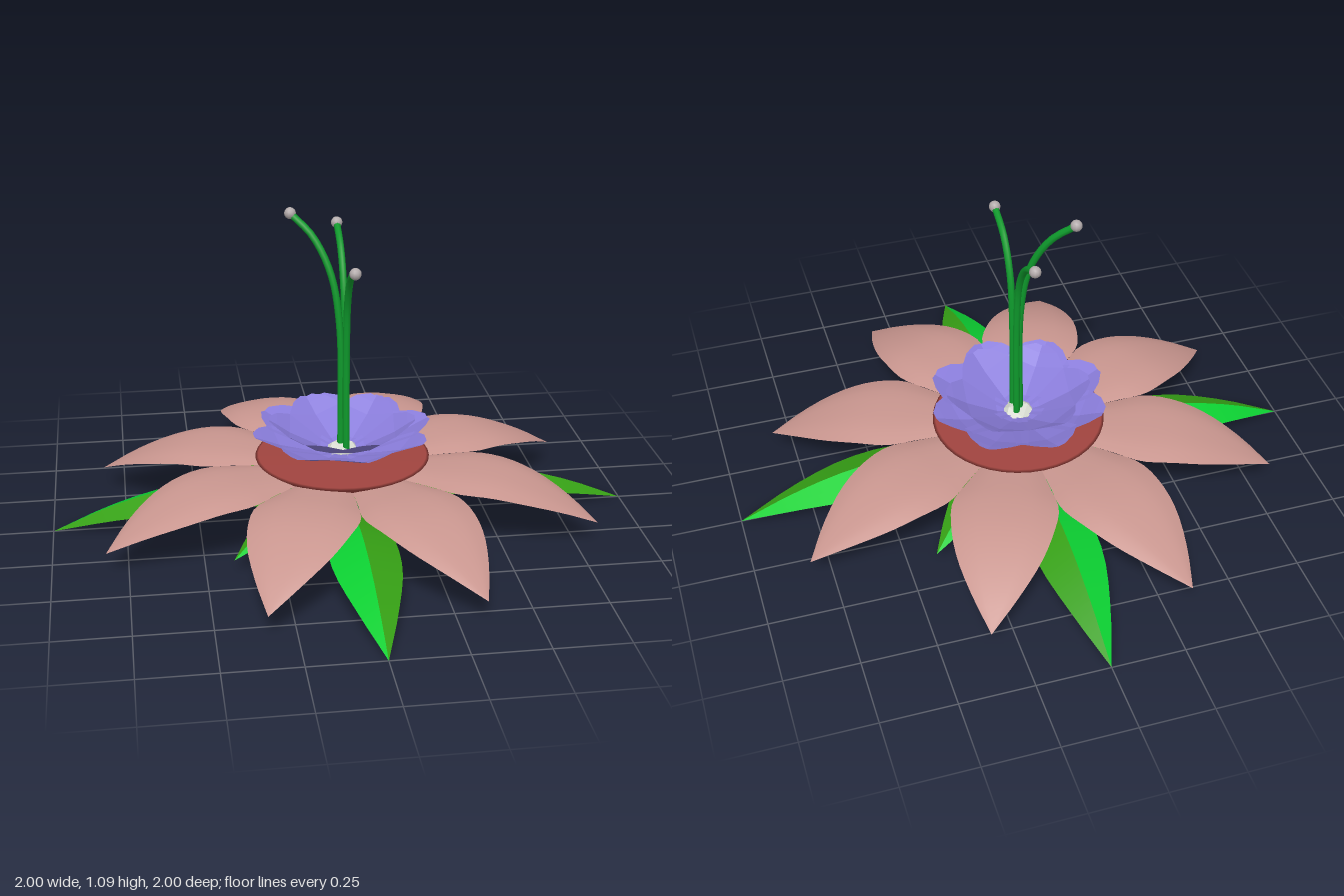
import * as THREE from 'three';

const mat = (name, color, extra = {}) => {
  const m = new THREE.MeshStandardMaterial({ color, side: THREE.DoubleSide, ...extra });
  m.name = name;
  return m;
};

// Blade along +z. Stations are [distance, half width, height]; the section runs
// from u0 to u1 (-1..1 is the full width) and drops towards its edges.
function blade(stations, { u0 = -1, u1 = 1, cols = 6, rows = 14, drop = 0.02, power = 2 }) {
  const curve = new THREE.CatmullRomCurve3(stations.map(s => new THREE.Vector3(...s)), false, 'centripetal');
  const widest = Math.max(...stations.map(s => s[1]));
  const pos = [], idx = [];
  for (let i = 0; i <= rows; i++) {
    const p = curve.getPoint(i / rows);
    const w = Math.max(p.y, 0);
    for (let j = 0; j <= cols; j++) {
      const u = u0 + (u1 - u0) * j / cols;
      pos.push(u * w, p.z - drop * Math.abs(u) ** power * w / widest, p.x);
      if (i < rows && j < cols) {
        const a = i * (cols + 1) + j, b = a + cols + 1;
        idx.push(a, b, a + 1, b, b + 1, a + 1);
      }
    }
  }
  const g = new THREE.BufferGeometry();
  g.setAttribute('position', new THREE.Float32BufferAttribute(pos, 3));
  g.setIndex(idx);
  g.computeVertexNormals();
  return g;
}

export function createModel() {
  const root = new THREE.Group();
  root.name = 'flower';
  const pink = mat('dusty pink', 0xc9968f);
  const red = mat('dark red', 0xa0443f);
  const violet = mat('violet', 0x8a7ddb, { flatShading: true });
  const brightGreen = mat('bright green', 0x0cd032);
  const leafGreen = mat('leaf green', 0x36a015);
  const stemGreen = mat('stem green', 0x0e9a2c);
  const pale = mat('pale centre', 0xd9ddd3, { flatShading: true });
  const grey = mat('grey tip', 0xb3abab);

  const add = (name, geo, material, parent = root) => {
    const m = new THREE.Mesh(geo, material);
    m.name = name;
    parent.add(m);
    return m;
  };

  // Folded leaves: two halves meeting in a sharp ridge
  const half = (stations, u0, u1, drop) => blade(stations, { u0, u1, cols: 2, drop, power: 1 });
  const addLeaf = (name, stations, drop, angle, leftBright) => {
    const leaf = new THREE.Group();
    leaf.name = name;
    leaf.rotation.y = angle;
    add('leafHalfA', half(stations, -1, 0, drop), leftBright ? brightGreen : leafGreen, leaf);
    add('leafHalfB', half(stations, 0, 1, drop), leftBright ? leafGreen : brightGreen, leaf);
    root.add(leaf);
  };
  const longLeaf = [[0.02, 0.05, 0.05], [0.2, 0.085, 0.115], [0.4, 0.112, 0.152],
    [0.6, 0.11, 0.138], [0.8, 0.065, 0.085], [1, 0, 0.003]];
  const shortLeaf = [[0.02, 0.05, 0.06], [0.15, 0.09, 0.11], [0.3, 0.085, 0.135],
    [0.45, 0.045, 0.11], [0.58, 0, 0.06]];
  for (let i = 0; i < 4; i++) {
    addLeaf('longLeaf', longLeaf, 0.045, i * Math.PI / 2, i === 0 || i === 3);
    addLeaf('shortLeaf', shortLeaf, 0.035, (i + 0.5) * Math.PI / 2, i % 2 === 0);
  }

  // Green base under the flower
  const lathe = (pts, n) => new THREE.LatheGeometry(pts.map(p => new THREE.Vector2(...p)), n);
  add('base', lathe([[0, 0.03], [0.12, 0.035], [0.17, 0.06], [0.16, 0.13]], 20), stemGreen);

  // Eight broad petals that arch over and droop
  const petal = blade([[0.08, 0.035, 0.2], [0.2, 0.083, 0.215], [0.34, 0.14, 0.23], [0.44, 0.177, 0.236],
    [0.55, 0.168, 0.228], [0.66, 0.137, 0.198], [0.78, 0.075, 0.145], [0.89, 0, 0.078]],
  { cols: 8, rows: 20, drop: 0.025, power: 3 });
  for (let i = 0; i < 8; i++) {
    add('outerPetal', petal, pink).rotation.y = (i + 0.5) * Math.PI / 4;
  }

  // Red cup that carries the inner flower
  add('cup', lathe([[0, 0.13], [0.13, 0.135], [0.24, 0.19], [0.3, 0.232], [0.29, 0.237], [0, 0.238]], 40), red);

  // Faceted inner petals in two rings
  const facet = (len, width, y0, rise) => {
    const pts = [[0.04, 0.2, 0], [0.3, 0.62, 0.12], [0.72, 1, 0.58], [0.9, 0.62, 0.86], [1, 0.22, 1]];
    const g = blade(pts.map(([t, w, h]) => [t * len, w * width, y0 + h * rise]),
      { cols: 2, rows: 4, drop: -0.025, power: 1 });
    return g;
  };
  const ring = (name, count, offset, geo) => {
    for (let i = 0; i < count; i++) {
      const m = add(name, geo, violet);
      m.rotation.y = offset + i * Math.PI * 2 / count;
    }
  };
  ring('lowerInnerPetal', 8, 0.15, facet(0.31, 0.115, 0.242, 0.09));
  ring('upperInnerPetal', 6, 0.4, facet(0.25, 0.105, 0.25, 0.11));

  // Pale heart of the flower
  const heart = add('heart', new THREE.IcosahedronGeometry(0.065, 0), pale);
  heart.position.y = 0.25;
  heart.scale.y = 0.5;

  // Three tall stamens bending outwards
  const stamens = [
    [[-0.005, 0.23, 0], [-0.008, 0.7, -0.005], [-0.035, 0.88, -0.025], [-0.09, 1.0, -0.065], [-0.16, 1.07, -0.11]],
    [[0.01, 0.23, 0.03], [0.01, 0.62, 0.033], [0.01, 0.8, 0.06], [0.01, 0.91, 0.13], [0.01, 0.96, 0.235]],
    [[0.012, 0.23, -0.02], [0.012, 0.65, -0.022], [0.012, 0.83, -0.05], [0.012, 0.94, -0.12], [0.012, 1.0, -0.22]],
  ];
  for (const pts of stamens) {
    const curve = new THREE.CatmullRomCurve3(pts.map(p => new THREE.Vector3(...p)), false, 'centripetal');
    add('stamen', new THREE.TubeGeometry(curve, 28, 0.012, 8), stemGreen);
    const tip = add('stamenTip', new THREE.SphereGeometry(0.02, 10, 8), grey);
    tip.position.copy(curve.getPoint(1));
  }
  return root;
}
